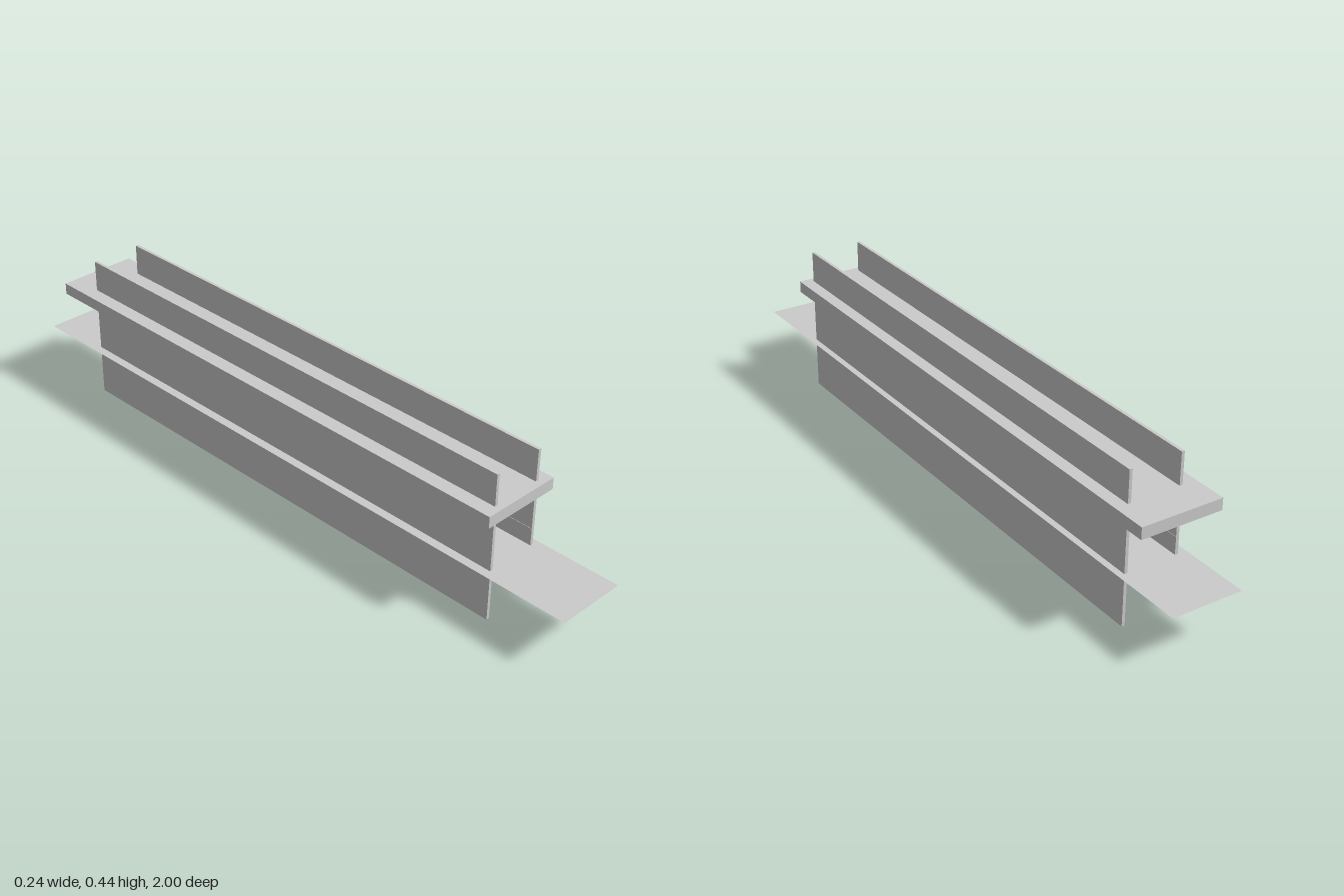
import * as THREE from 'three';

const grey = new THREE.MeshStandardMaterial({ color: 0xcccccc, flatShading: true });
const greyThin = new THREE.MeshStandardMaterial({ color: 0xcccccc, side: THREE.DoubleSide });

// Box given by its limits on each axis
function block(name, [x0, x1], [y0, y1], [z0, z1]) {
  const mesh = new THREE.Mesh(new THREE.BoxGeometry(x1 - x0, y1 - y0, z1 - z0), grey);
  mesh.position.set((x0 + x1) / 2, (y0 + y1) / 2, (z0 + z1) / 2);
  mesh.name = name;
  return mesh;
}

// Door panel on a wall's inner face, with a small knob on a stem
function door(wallX, inward, z, floorY) {
  const group = new THREE.Group();
  group.name = 'door';
  const panel = new THREE.Mesh(new THREE.BoxGeometry(0.006, 0.117, 0.06), grey);
  panel.name = 'doorPanel';
  panel.position.set(inward * 0.003, 0.0585, 0);
  const stem = new THREE.Mesh(new THREE.CylinderGeometry(0.001, 0.001, 0.003, 8), grey);
  stem.name = 'knobStem';
  stem.rotation.z = Math.PI / 2;
  stem.position.set(inward * 0.0065, 0.051, 0.02);
  const knob = new THREE.Mesh(new THREE.CylinderGeometry(0.005, 0.005, 0.0015, 12), grey);
  knob.name = 'doorKnob';
  knob.rotation.z = Math.PI / 2;
  knob.position.set(inward * 0.008, 0.051, 0.02);
  group.add(panel, stem, knob);
  group.position.set(wallX, floorY, z);
  return group;
}

export function createModel() {
  const model = new THREE.Group();
  model.name = 'corridor';
  const floorY = 0.152;
  const wallZ = [-0.795, 0.748];

  // Floor sheet running past both ends
  const floor = new THREE.Mesh(new THREE.PlaneGeometry(0.207, 2), greyThin);
  floor.name = 'floor';
  floor.rotation.x = -Math.PI / 2;
  floor.position.set(-0.001, floorY, 0);
  model.add(floor);

  // Ceiling slab, crossed by the two walls
  model.add(block('ceiling', [-0.121, 0.12], [0.312, 0.346], [-0.893, 0.767]));
  model.add(block('rightWall', [-0.079, -0.07], [0, 0.439], wallZ));
  model.add(block('leftWall', [0.075, 0.084], [0, 0.439], wallZ));

  // Doors along both inner faces
  for (let i = 0; i < 4; i++) {
    model.add(door(-0.07, 1, 0.53 - i * 0.4, floorY));
    model.add(door(0.075, -1, -0.72 + i * 0.4, floorY));
  }

  // Fine trim line along the walls at knob height
  model.add(block('rightTrim', [-0.07, -0.069], [0.202, 0.204], wallZ));
  model.add(block('leftTrim', [0.074, 0.075], [0.202, 0.204], wallZ));

  return model;
}
